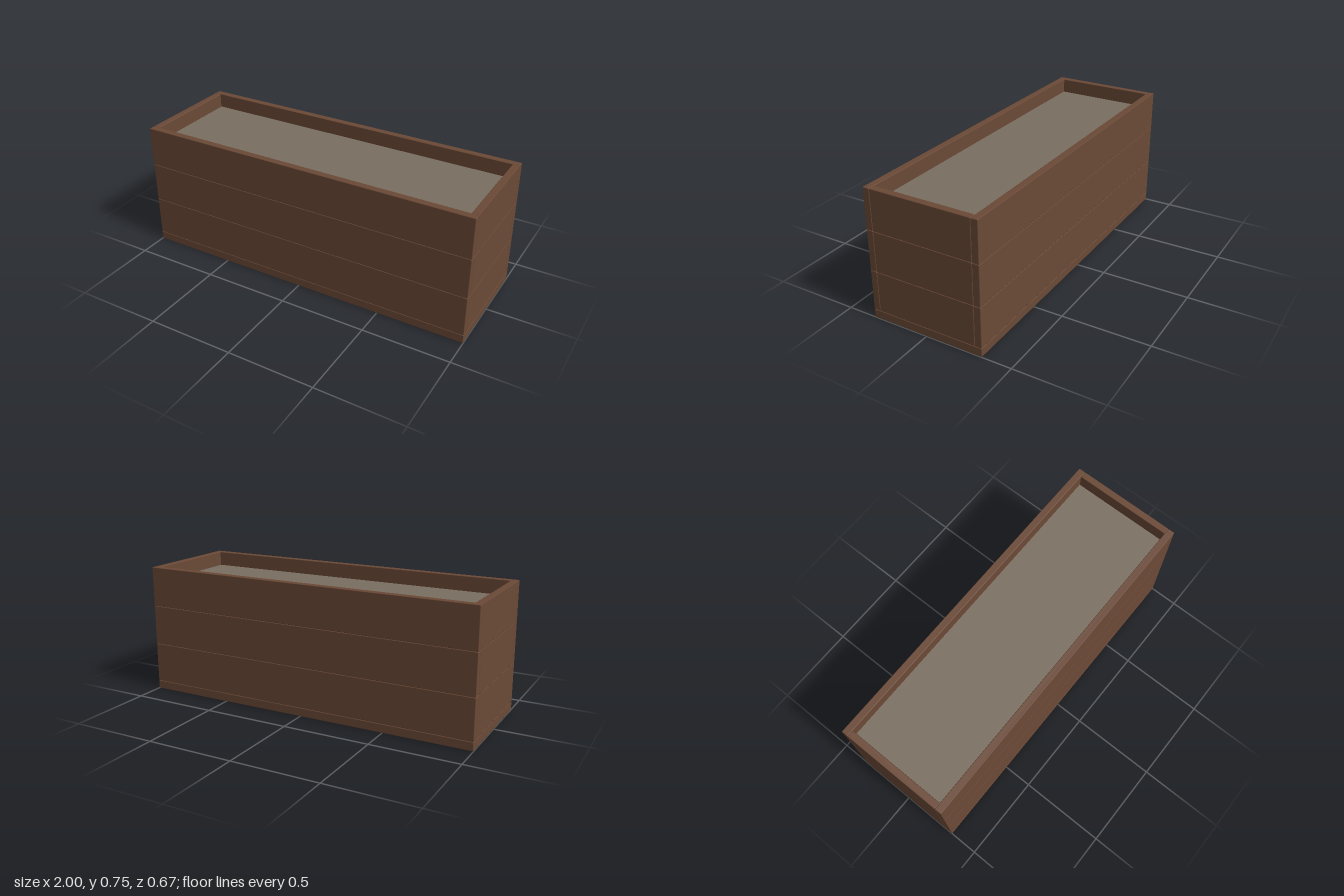
import * as THREE from 'three';
import { RoundedBoxGeometry } from 'three/addons/geometries/RoundedBoxGeometry.js';

export function createModel() {
  const wood = new THREE.MeshStandardMaterial({ color: 0x6b4936 });
  wood.name = 'brownWood';
  const soil = new THREE.MeshStandardMaterial({ color: 0x7a6e61 });
  soil.name = 'greySoil';

  const W = 2, D = 0.666, H = 0.75, T = 0.04, BASE = 0.05, ROWS = 3;
  const planter = new THREE.Group();
  planter.name = 'planterBox';

  // One board with finely eased edges
  function board(name, w, h, d, x, y, z) {
    const mesh = new THREE.Mesh(new RoundedBoxGeometry(w, h, d, 1, 0.004), wood);
    mesh.name = name;
    mesh.position.set(x, y, z);
    planter.add(mesh);
  }

  // Floor board
  board('base', W, BASE, D, 0, BASE / 2, 0);

  // Three rows of boards on each wall; ends sit between the long sides
  const rowH = (H - BASE) / ROWS;
  for (let i = 0; i < ROWS; i++) {
    const y = BASE + (i + 0.5) * rowH;
    for (const s of [1, -1]) {
      board(s > 0 ? 'frontPlank' : 'backPlank', W, rowH, T, 0, y, s * (D - T) / 2);
      board(s > 0 ? 'leftEndPlank' : 'rightEndPlank', T, rowH, D - 2 * T, s * (W - T) / 2, y, 0);
    }
  }

  // Soil filling, set a little below the rim
  const fillTop = 0.665;
  const fill = new THREE.Mesh(new THREE.BoxGeometry(W - 2 * T, fillTop - BASE, D - 2 * T), soil);
  fill.name = 'soilFill';
  fill.position.y = (fillTop + BASE) / 2;
  planter.add(fill);

  return planter;
}
